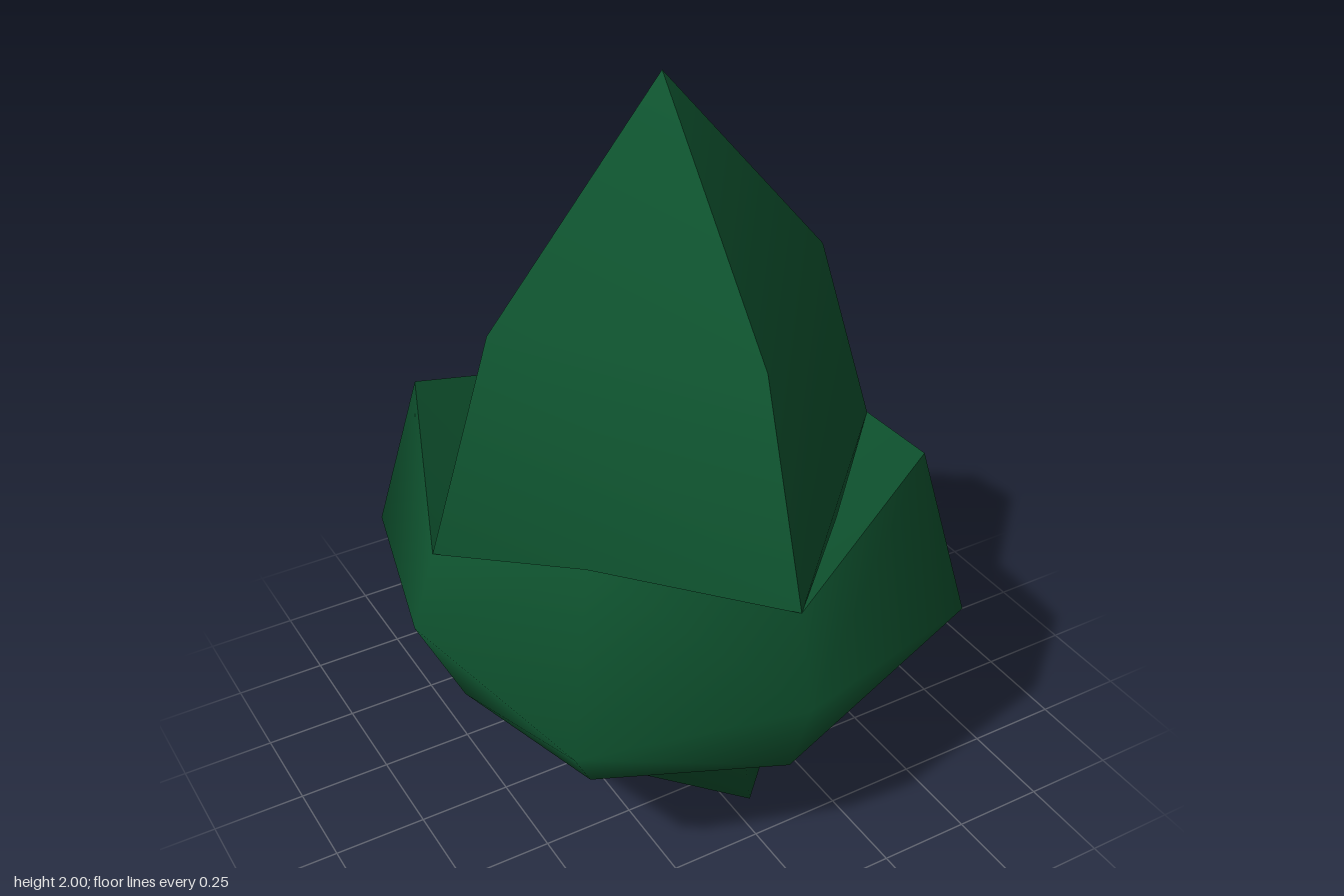
import * as THREE from 'three';
import { toCreasedNormals } from 'three/addons/utils/BufferGeometryUtils.js';

const leafGreen = new THREE.MeshStandardMaterial({ color: 0x0f5530 });
leafGreen.name = 'leafGreen';

// Eight points around the axis: front, then counter-clockwise seen from above.
// side, front and back are [radius, y]; corner is [x, z, y].
function ring({ side: [sr, sy], corner: [cx, cz, cy], front: [fr, fy], back: [br, by] }) {
  return [
    [0, fy, fr], [cx, cy, cz], [sr, sy, 0], [cx, cy, -cz],
    [0, by, -br], [-cx, cy, -cz], [-sr, sy, 0], [-cx, cy, cz],
  ];
}

function meshFrom(name, points, index, crease) {
  let geometry = new THREE.BufferGeometry();
  geometry.setAttribute('position', new THREE.Float32BufferAttribute(points.flat(), 3));
  geometry.setIndex(index);
  if (crease) geometry = toCreasedNormals(geometry, crease);
  else geometry.computeVertexNormals();
  const mesh = new THREE.Mesh(geometry, leafGreen);
  mesh.name = name;
  return mesh;
}

// Joins rings listed from top to bottom; quads are split symmetrically.
function bridge(rows, sides) {
  const index = [];
  for (let r = 0; r < rows - 1; r++) {
    for (let k = 0; k < sides; k++) {
      const n = (k + 1) % sides;
      const [a, b, c, d] = [r * sides + k, (r + 1) * sides + k, (r + 1) * sides + n, r * sides + n];
      if (k % 2) index.push(a, b, c, a, c, d);
      else index.push(a, b, d, b, c, d);
    }
  }
  return index;
}

// Pointed core with a diamond cross-section
function createCore() {
  const profile = [[0, 2], [0.48, 1.43], [0.66, 0.86], [0.64, 0.7]];
  const points = profile.flatMap(([r, y]) => [[0, y, r], [r, y, 0], [0, y, -r], [-r, y, 0]]);
  const index = bridge(profile.length, 4).filter((_, i, all) => {
    // drop the collapsed triangles at the apex
    const t = all.slice(i - (i % 3), i - (i % 3) + 3);
    return t.filter((v) => v < 4).length < 2;
  });
  return meshFrom('budCore', points, index, 0.6);
}

// Outer shell of the four sepals, narrowing to a keel below
function createShell() {
  const rings = [
    { side: [0.66, 0.86], corner: [0.48, 0.48, 1.055], front: [0.66, 0.86], back: [0.66, 0.86] },
    { side: [0.725, 0.65], corner: [0.575, 0.575, 0.59], front: [0.72, 0.6], back: [0.72, 0.6] },
    { side: [0.6, 0.38], corner: [0.49, 0.49, 0.42], front: [0.64, 0.36], back: [0.64, 0.36] },
    { side: [0.33, 0.17], corner: [0.3, 0.3, 0.22], front: [0.48, 0.27], back: [0.5, 0.27] },
    { side: [0.27, 0.09], corner: [0.22, 0.25, 0.12], front: [0.44, 0.2], back: [0.43, 0.18] },
    { side: [0.11, 0.012], corner: [0.09, 0.24, 0.03], front: [0.465, 0.1], back: [0.37, 0.012] },
    { side: [0.09, 0.002], corner: [0.06, 0.2, 0.002], front: [0.31, 0.01], back: [0.35, 0.002] },
  ].map(ring);
  const points = rings.flat();
  const index = bridge(rings.length, 8);
  const base = (rings.length - 1) * 8;
  const centre = points.push([0, 0, 0]) - 1;
  for (let k = 0; k < 8; k++) index.push(base + k, centre, base + ((k + 1) % 8));
  return meshFrom('sepalShell', points, index);
}

// Inner face of one sepal, falling from its tip to the core
function createSepalInside() {
  const points = [[0.48, 1.055, 0.48], [0, 0.86, 0.66], [0.33, 0.82, 0.33], [0.66, 0.86, 0]];
  return meshFrom('sepalInside', points, [0, 2, 1, 0, 3, 2]);
}

export function createModel() {
  const group = new THREE.Group();
  group.name = 'bud';
  group.add(createCore(), createShell());
  for (let i = 0; i < 4; i++) {
    const inside = createSepalInside();
    inside.rotation.y = (i * Math.PI) / 2;
    group.add(inside);
  }
  return group;
}
